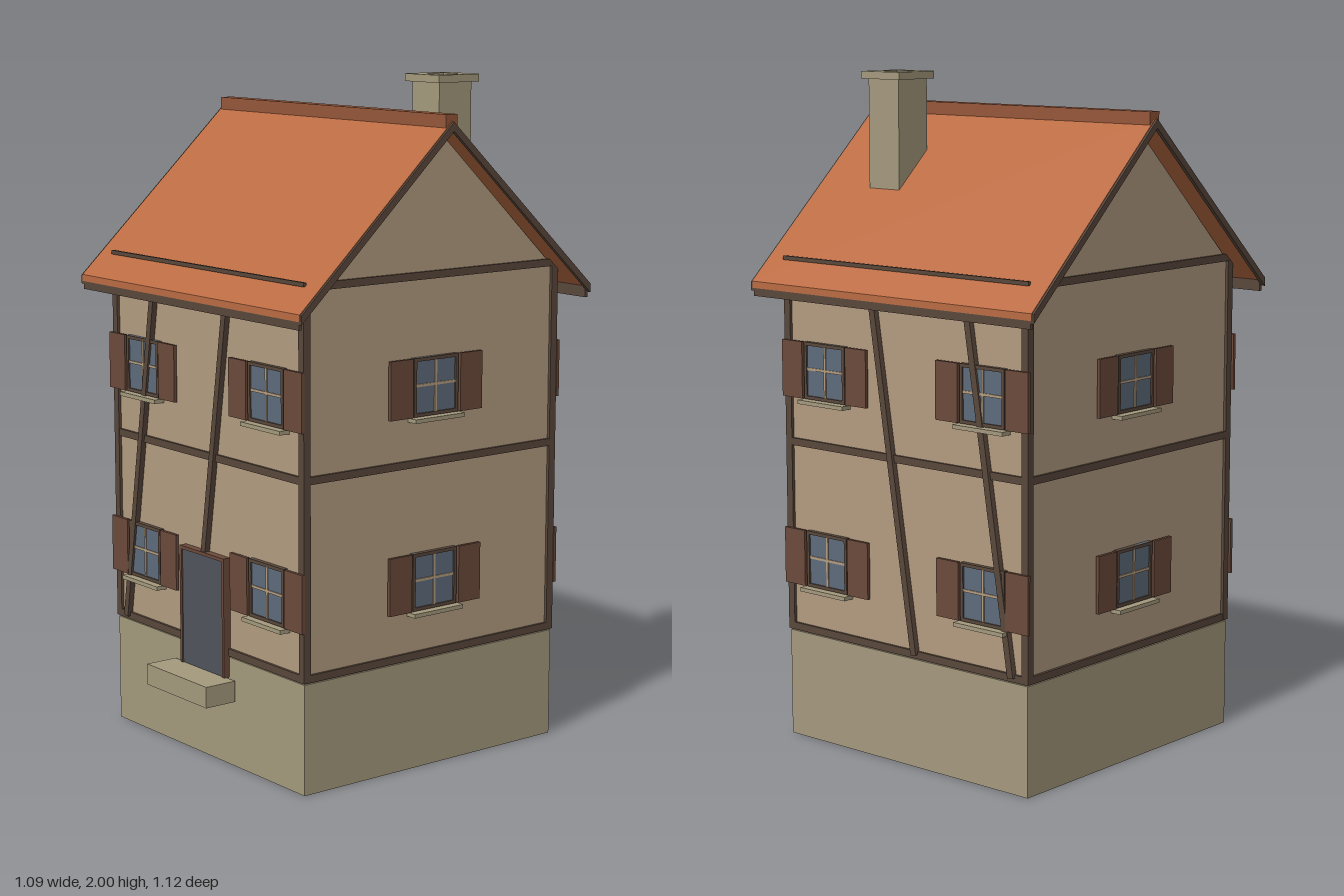
import * as THREE from 'three';

const mat = (color) => new THREE.MeshStandardMaterial({ color });
const M = {
  wall: mat(0xb39c80), stone: mat(0xa59a7e), timber: mat(0x5a483c), shutter: mat(0x6b4a3b),
  roof: mat(0xbb6c43), ridge: mat(0x96573a), glass: mat(0x5e6c7c), dark: mat(0x50555c),
};
const W = 0.47, ZC = -0.02; // half width of the square body and its centre in z

function add(parent, name, geometry, material, x = 0, y = 0, z = 0) {
  const mesh = new THREE.Mesh(geometry, material);
  mesh.name = name;
  mesh.position.set(x, y, z);
  parent.add(mesh);
  return mesh;
}
const box = (parent, name, material, w, h, d, x, y, z) =>
  add(parent, name, new THREE.BoxGeometry(w, h, d), material, x, y, z);

// Extrudes a gable-end profile along x, centred on cx
function gablePrism(parent, name, material, points, length, cx = 0) {
  const shape = new THREE.Shape(points.map(([u, v]) => new THREE.Vector2(u, v)));
  const g = new THREE.ExtrudeGeometry(shape, { depth: length, bevelEnabled: false });
  g.translate(0, 0, -length / 2).rotateY(Math.PI / 2);
  return add(parent, name, g, material, cx, 0, 0);
}

// Inverted V following the roof slope
const chevron = (half, apex, eave, t) =>
  [[-half, eave - t], [0, apex - t], [half, eave - t], [half, eave], [0, apex], [-half, eave]];

// Window with cross bars, sill and two shutters, facing +z
function makeWindow() {
  const g = new THREE.Group();
  g.name = 'window';
  const w = 0.165, h = 0.17;
  box(g, 'glass', M.glass, w, h, 0.01, 0, 0, 0);
  for (const s of [-1, 1]) {
    box(g, 'frameSide', M.timber, 0.01, h, 0.02, s * (w / 2 - 0.005), 0, 0);
    box(g, 'frameRail', M.timber, w, 0.01, 0.02, 0, s * (h / 2 - 0.005), 0);
    box(g, 'shutter', M.shutter, 0.083, 0.17, 0.01, s * 0.13, 0, 0.008);
  }
  box(g, 'mullion', M.wall, 0.008, h - 0.02, 0.016, 0, 0, 0);
  box(g, 'transom', M.wall, w - 0.02, 0.008, 0.016, 0, 0.005, 0);
  box(g, 'sill', M.stone, 0.185, 0.012, 0.04, 0, -0.093, 0.01);
  return g;
}

// Slanted beam across a wall, from (x0, y0) to (x1, y1)
function brace(parent, x0, y0, x1, y1, z) {
  const len = Math.hypot(x1 - x0, y1 - y0);
  const b = box(parent, 'brace', M.timber, 0.021, len, 0.024, (x0 + x1) / 2, (y0 + y1) / 2, z);
  b.rotation.z = -Math.atan2(x1 - x0, y1 - y0);
}

export function createModel() {
  const model = new THREE.Group();
  model.name = 'timberHouse';
  const house = new THREE.Group(); // everything centred on the ridge
  house.name = 'house';
  house.position.z = ZC;
  model.add(house);

  // Plinth and plastered body with gables
  box(house, 'plinth', M.stone, 2 * W, 0.325, 2 * W, 0, 0.1625, 0);
  gablePrism(house, 'walls', M.wall,
    [[-W + 0.005, 0.325], [W - 0.005, 0.325], [W - 0.005, 1.43], [0, 1.866], [-W + 0.005, 1.43]], 2 * W - 0.01);

  // Timber frame: corner posts, rails, braces
  for (const sx of [-1, 1]) for (const sz of [-1, 1])
    box(house, 'cornerPost', M.timber, 0.024, 1.11, 0.024, sx * (W - 0.008), 0.885, sz * (W - 0.008));
  for (const y of [0.34, 0.908, 1.448]) for (const s of [-1, 1]) {
    const top = y > 1.4;
    box(house, 'railSide', M.timber, 0.022, 0.022, 2 * W - 0.01, s * (W - 0.008), y, 0);
    box(house, 'railLong', M.timber, 2 * W - 0.01, 0.022, 0.022, 0, top ? 1.4 : y, s * (W - 0.008));
  }
  for (const s of [-1, 1]) {
    brace(house, -0.415, 0.34, -0.243, 1.42, s * W);
    brace(house, -0.045, 0.34, 0.122, 1.42, s * W);
  }

  // Windows: four on each long wall, two on each gable wall
  for (const y of [0.56, 1.13]) for (const s of [-1, 1]) {
    for (const x of [-0.31, 0.305]) {
      const win = makeWindow();
      win.position.set(x, y, s * W);
      if (s < 0) win.rotation.y = Math.PI;
      house.add(win);
    }
    const side = makeWindow();
    side.position.set(s * W, y, 0);
    side.rotation.y = s * Math.PI / 2;
    house.add(side);
  }

  // Front door with frame and step
  const door = new THREE.Group();
  door.name = 'door';
  door.position.z = W;
  house.add(door);
  box(door, 'doorPanel', M.dark, 0.21, 0.355, 0.024, 0, 0.4425, 0.003);
  for (const s of [-1, 1]) box(door, 'doorJamb', M.shutter, 0.01, 0.357, 0.032, s * 0.106, 0.443, 0.003);
  box(door, 'doorLintel', M.shutter, 0.222, 0.01, 0.032, 0, 0.617, 0.003);
  box(door, 'doorStep', M.stone, 0.304, 0.063, 0.105, -0.002, 0.232, 0.0575 - 0.03 + 0.03);
  door.getObjectByName('doorStep').position.z = 0.06;
  door.getObjectByName('doorStep').scale.z = 0.98;

  // Roof slopes, bargeboards, eaves boards, snow guards and ridge
  gablePrism(house, 'roof', M.roof, chevron(0.538, 1.885, 1.388, 0.02), 1.08);
  for (const s of [-1, 1]) {
    gablePrism(house, 'bargeboard', M.timber, chevron(0.537, 1.882, 1.386, 0.026), 0.012, s * 0.541);
    box(house, 'eavesBoard', M.timber, 1.07, 0.035, 0.01, 0, 1.362, s * 0.532);
    box(house, 'snowGuard', M.timber, 0.95, 0.012, 0.008, 0, 1.457, s * 0.47);
  }
  box(house, 'ridge', M.ridge, 1.072, 0.042, 0.042, 0, 1.882, 0);

  // Chimney with an open cap
  const chimney = new THREE.Group();
  chimney.name = 'chimney';
  chimney.position.set(0.275, 0, -0.187);
  house.add(chimney);
  box(chimney, 'shaft', M.stone, 0.12, 0.43, 0.122, 0, 1.765, 0);
  const square = (C, r) => new C([[-r, -r], [r, -r], [r, r], [-r, r]].map(([a, b]) => new THREE.Vector2(a, b)));
  const cap = square(THREE.Shape, 0.076);
  cap.holes.push(square(THREE.Path, 0.039));
  const capGeo = new THREE.ExtrudeGeometry(cap, { depth: 0.022, bevelEnabled: false }).rotateX(-Math.PI / 2);
  add(chimney, 'chimneyCap', capGeo, M.stone, 0, 1.978, 0);
  box(chimney, 'flue', M.dark, 0.078, 0.02, 0.078, 0, 1.976, 0);

  return model;
}
